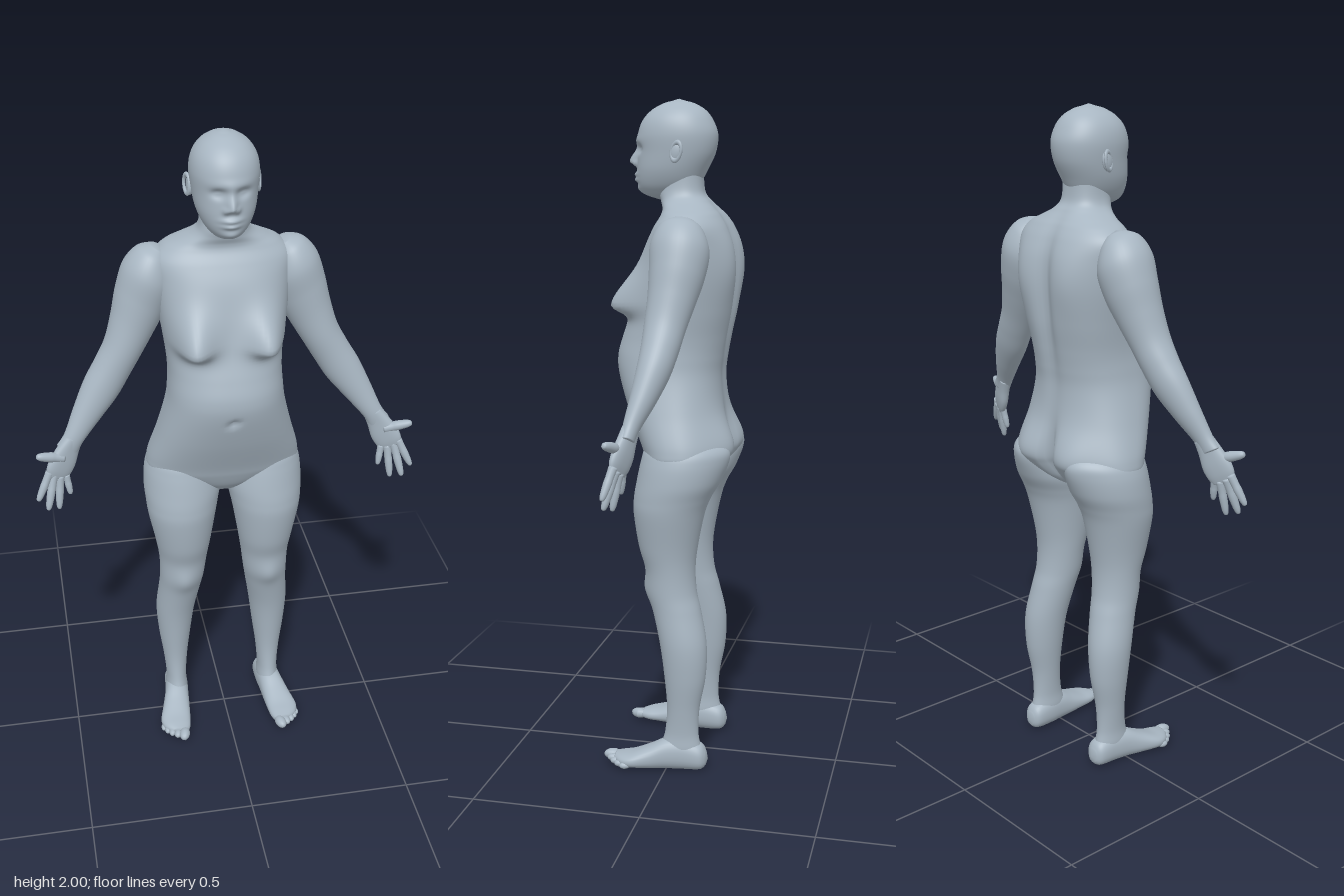
import * as THREE from 'three';

const skin = new THREE.MeshStandardMaterial({ color: 0xa8b6c2 });
skin.name = 'greySkin';

const UP = [0, 1, 0], DOWN = [0, -1, 0], FRONT = [0, 0, 1];

// Smooth interpolation through the rows, component by component
function refine(rows, steps) {
  const out = [];
  const at = i => rows[Math.min(Math.max(i, 0), rows.length - 1)];
  for (let i = 0; i < rows.length - 1; i++) {
    const [p0, p1, p2, p3] = [at(i - 1), at(i), at(i + 1), at(i + 2)];
    for (let s = 0; s < steps; s++) {
      const t = s / steps;
      out.push(p1.map((b, k) => {
        const a = p0[k], c = p2[k], d = p3[k];
        return b + 0.5 * t * (c - a + t * (2 * a - 5 * b + 4 * c - d + t * (3 * (b - c) + d - a)));
      }));
    }
  }
  out.push(at(rows.length - 1));
  return out;
}

// Skin over oval sections [x, y, z, halfWidth, halfDepth]; sections are square to `along`, depth lies near `depth`
function loft(rows, along, depth, { steps = 6, sides = 32, power = 2, shape = null } = {}) {
  const t = new THREE.Vector3(...along).normalize();
  const v = new THREE.Vector3(...depth);
  v.addScaledVector(t, -v.dot(t)).normalize();
  const u = new THREE.Vector3().crossVectors(t, v);
  const rings = refine(rows, steps), pos = [], idx = [];
  const add = p => { if (shape) shape(p); pos.push(p.x, p.y, p.z); };
  const round = c => Math.sign(c) * Math.abs(c) ** (2 / power);
  for (const [x, y, z, a, b] of rings) {
    for (let j = 0; j < sides; j++) {
      const q = j / sides * Math.PI * 2;
      add(new THREE.Vector3(x, y, z).addScaledVector(u, a * round(Math.cos(q))).addScaledVector(v, -b * round(Math.sin(q))));
    }
  }
  const n = rings.length, first = n * sides, last = first + 1;
  add(new THREE.Vector3(...rings[0].slice(0, 3)).addScaledVector(t, -rings[0][4] * 0.3));
  add(new THREE.Vector3(...rings[n - 1].slice(0, 3)).addScaledVector(t, rings[n - 1][4] * 0.3));
  for (let j = 0; j < sides; j++) {
    const k = (j + 1) % sides;
    idx.push(first, k, j, last, (n - 1) * sides + j, (n - 1) * sides + k);
    for (let i = 0; i < n - 1; i++) {
      const a = i * sides + j, b = i * sides + k;
      idx.push(a, b, b + sides, a, b + sides, a + sides);
    }
  }
  const g = new THREE.BufferGeometry();
  g.setAttribute('position', new THREE.Float32BufferAttribute(pos, 3));
  g.setIndex(idx);
  g.computeVertexNormals();
  return g;
}

function mirrored(geometry) {
  const g = geometry.clone().scale(-1, 1, 1);
  const idx = g.index.array;
  for (let i = 0; i < idx.length; i += 3) [idx[i], idx[i + 1]] = [idx[i + 1], idx[i]];
  g.computeVertexNormals();
  return g;
}

// Soft push around a point, the same on both sides; `low` is the falloff below the point
function bump(p, [cx, cy, cz], [rx, ry, rz, low = ry], [px, py, pz]) {
  const dx = (Math.abs(p.x) - cx) / rx, dy = (p.y - cy) / (p.y < cy ? low : ry), dz = (p.z - cz) / rz;
  const w = Math.exp(-(dx * dx + dy * dy + dz * dz));
  p.x += w * px * Math.sign(p.x);
  p.y += w * py;
  p.z += w * pz;
}

function shapeBody(p) {
  bump(p, [0.1, 1.0, -0.17], [0.08, 0.09, 0.1, 0.08], [0, 0, -0.032]);        // seat
  bump(p, [0, 0.97, -0.17], [0.022, 0.09, 0.08], [0, 0, 0.045]);              // seat cleft
  bump(p, [0, 1.45, -0.18], [0.03, 0.24, 0.1], [0, 0, 0.022]);                // spine
  bump(p, [0.1, 1.53, -0.18], [0.06, 0.11, 0.1], [0, 0, -0.016]);             // shoulder blades
  bump(p, [0.105, 1.425, 0.12], [0.055, 0.085, 0.12, 0.036], [0.008, -0.012, 0.072]); // chest
  bump(p, [0, 1.19, 0.175], [0.014, 0.012, 0.06], [0, 0, -0.014]);            // navel
  bump(p, [0.135, 0.565, 0.07], [0.035, 0.045, 0.05], [0, 0, 0.01]);          // kneecaps
}

function shapeFace(p) {
  bump(p, [0, 1.885, 0.12], [0.06, 0.014, 0.04], [0, 0, 0.005]);              // brow
  bump(p, [0.034, 1.862, 0.11], [0.019, 0.013, 0.05], [0, 0, -0.014]);        // eye sockets
  bump(p, [0.034, 1.861, 0.11], [0.011, 0.006, 0.05], [0, 0, 0.005]);         // eyelids
  bump(p, [0, 1.826, 0.125], [0.014, 0.034, 0.05, 0.011], [0, 0, 0.028]);     // nose
  bump(p, [0.016, 1.818, 0.125], [0.008, 0.009, 0.04], [0, 0, 0.01]);         // nostrils
  bump(p, [0, 1.789, 0.125], [0.026, 0.008, 0.04], [0, 0, 0.011]);            // upper lip
  bump(p, [0, 1.773, 0.125], [0.023, 0.007, 0.04], [0, 0, 0.011]);            // lower lip
  bump(p, [0, 1.745, 0.11], [0.025, 0.013, 0.04], [0, 0, 0.009]);             // chin
}

// Row from side and front extents: height, inner x, outer x, back z, front z
const span = ([y, x0, x1, z0, z1]) => [(x0 + x1) / 2, y, (z0 + z1) / 2, (x1 - x0) / 2, (z1 - z0) / 2];
const centred = ([y, a, z0, z1]) => span([y, -a, a, z0, z1]);

export function createModel() {
  const model = new THREE.Group();
  model.name = 'humanFigure';
  const add = (name, geometry, parent = model) => {
    const m = new THREE.Mesh(geometry, skin);
    m.name = name;
    parent.add(m);
  };
  const pair = (name, geometry) => {
    add('left' + name, geometry);
    add('right' + name, mirrored(geometry));
  };

  // Torso and neck
  add('torso', loft([
    [0.89, 0.06, -0.09, 0.04], [0.92, 0.15, -0.125, 0.065], [0.96, 0.225, -0.15, 0.085], [1.0, 0.232, -0.16, 0.1],
    [1.1, 0.203, -0.145, 0.142], [1.2, 0.177, -0.14, 0.174], [1.26, 0.169, -0.147, 0.179], [1.32, 0.167, -0.158, 0.163],
    [1.4, 0.175, -0.172, 0.135], [1.5, 0.19, -0.178, 0.112], [1.58, 0.198, -0.172, 0.09], [1.635, 0.2, -0.155, 0.065],
    [1.67, 0.17, -0.135, 0.045], [1.69, 0.13, -0.118, 0.042], [1.712, 0.088, -0.098, 0.05], [1.74, 0.069, -0.078, 0.055],
    [1.8, 0.064, -0.072, 0.045],
  ].map(centred), UP, FRONT, { sides: 96, steps: 9, power: 2.3, shape: shapeBody }));

  // Head
  add('head', loft([
    [1.724, 0.025, 0.03, 0.085], [1.735, 0.045, -0.02, 0.105], [1.76, 0.066, -0.06, 0.12], [1.8, 0.083, -0.084, 0.123],
    [1.85, 0.092, -0.108, 0.12], [1.9, 0.096, -0.115, 0.121], [1.94, 0.088, -0.102, 0.108], [1.97, 0.068, -0.08, 0.082],
    [1.99, 0.039, -0.047, 0.047], [1.997, 0.018, -0.022, 0.022],
  ].map(centred), UP, FRONT, { sides: 96, steps: 12, power: 2.1, shape: shapeFace }));

  // Ears: a lobe with a raised rim
  const lobe = new THREE.SphereGeometry(1, 20, 14).scale(0.009, 0.029, 0.018).rotateX(-0.2).translate(0.093, 1.85, -0.012);
  const rim = new THREE.TorusGeometry(0.018, 0.005, 8, 24).scale(0.9, 1.45, 1).rotateY(Math.PI / 2 - 0.35).rotateX(-0.2)
    .translate(0.1, 1.852, -0.014);
  pair('Ear', lobe);
  pair('EarRim', rim);

  // Legs
  pair('Leg', loft([
    [1.04, 0.07, 0.17, -0.1, 0.04], [1.0, 0.035, 0.222, -0.145, 0.07], [0.96, 0.015, 0.24, -0.155, 0.083],
    [0.9, 0.008, 0.246, -0.148, 0.096], [0.85, 0.018, 0.243, -0.125, 0.104], [0.8, 0.028, 0.237, -0.107, 0.105],
    [0.7, 0.045, 0.217, -0.087, 0.091], [0.63, 0.056, 0.207, -0.08, 0.071], [0.56, 0.065, 0.205, -0.085, 0.063],
    [0.5, 0.075, 0.208, -0.1, 0.046], [0.4, 0.092, 0.216, -0.12, 0.022], [0.3, 0.105, 0.21, -0.118, 0.008],
    [0.2, 0.118, 0.197, -0.1, 0], [0.12, 0.124, 0.19, -0.097, 0.006], [0.07, 0.122, 0.192, -0.105, 0.02],
    [0.035, 0.13, 0.185, -0.1, 0.02],
  ].map(span), DOWN, FRONT, { sides: 48, steps: 8, shape: shapeBody }));

  // Feet and toes
  pair('Foot', loft([
    [0.155, 0.04, -0.12, 0.018, 0.022], [0.155, 0.045, -0.103, 0.034, 0.04], [0.157, 0.052, -0.05, 0.038, 0.05],
    [0.163, 0.05, 0, 0.04, 0.048], [0.172, 0.039, 0.05, 0.045, 0.036], [0.181, 0.031, 0.1, 0.049, 0.024],
    [0.179, 0.028, 0.135, 0.042, 0.019], [0.172, 0.028, 0.158, 0.026, 0.014],
  ], FRONT, UP, { power: 2.3 }));
  const toes = [[0.162, 0.172, 0.017], [0.183, 0.164, 0.012], [0.199, 0.151, 0.0115], [0.212, 0.136, 0.011], [0.222, 0.119, 0.0105]];
  for (const [i, [x, z, r]] of toes.entries()) {
    pair('Toe' + (i + 1), new THREE.SphereGeometry(r, 14, 10).scale(1, 0.95, 1.6).rotateY(0.25).translate(x, 0.028 - i * 0.002, z));
  }

  // Arms
  pair('Arm', loft([
    [0.178, 1.66, -0.05, 0.025, 0.035], [0.192, 1.635, -0.05, 0.056, 0.065], [0.21, 1.58, -0.05, 0.08, 0.085],
    [0.235, 1.51, -0.047, 0.079, 0.079], [0.262, 1.44, -0.038, 0.068, 0.068], [0.293, 1.37, -0.027, 0.058, 0.059],
    [0.327, 1.31, -0.02, 0.056, 0.053], [0.364, 1.25, -0.01, 0.055, 0.047], [0.41, 1.18, 0.008, 0.043, 0.036],
    [0.452, 1.115, 0.028, 0.031, 0.024], [0.475, 1.08, 0.034, 0.033, 0.019],
  ], [0.48, -0.87, 0.05], FRONT, { steps: 8, sides: 40 }));

  // Palms, turned so the thumb side leads
  const palmDepth = [-0.35, -0.1, 1];
  pair('Palm', loft([
    [0.453, 1.112, 0.029, 0.028, 0.021], [0.472, 1.08, 0.036, 0.035, 0.019], [0.49, 1.045, 0.043, 0.043, 0.018],
    [0.504, 1.018, 0.049, 0.042, 0.015], [0.513, 0.998, 0.053, 0.034, 0.01],
  ], [0.45, -0.88, 0.12], palmDepth, { power: 2.4 }));

  // Fingers: knuckle, tip and thickness
  const fingers = {
    Thumb: [[0.488, 1.06, 0.048], [0.568, 1.086, 0.075], 0.0145],
    IndexFinger: [[0.532, 1.02, 0.058], [0.573, 0.935, 0.08], 0.0115],
    MiddleFinger: [[0.52, 1.008, 0.054], [0.545, 0.902, 0.084], 0.012],
    RingFinger: [[0.502, 0.998, 0.049], [0.512, 0.893, 0.068], 0.0115],
    LittleFinger: [[0.484, 0.996, 0.044], [0.474, 0.933, 0.053], 0.01],
  };
  for (const [name, [base, tip, r]] of Object.entries(fingers)) {
    const sections = [[0, 1.1], [0.3, 1], [0.5, 1.03], [0.8, 0.85], [0.94, 0.6], [0.98, 0.35]];
    pair(name, loft(sections.map(([t, w]) => [...base.map((b, k) => b + (tip[k] - b) * t), r * w, r * w]),
      tip.map((e, k) => e - base[k]), palmDepth, { sides: 14, steps: 4 }));
  }
  return model;
}
